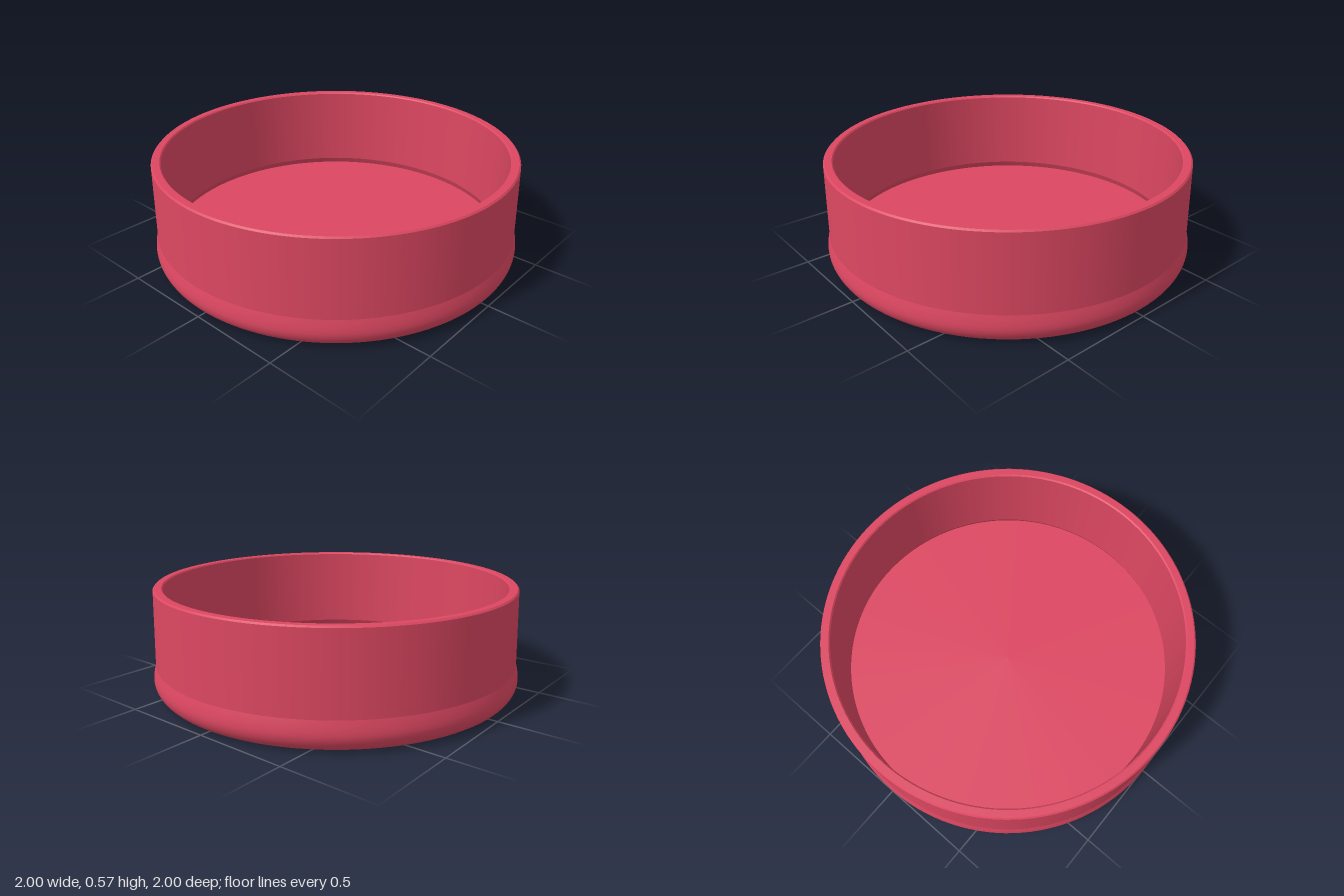
import * as THREE from 'three';

export function createModel() {
  const group = new THREE.Group();
  group.name = 'roundTray';
  const red = new THREE.MeshStandardMaterial({ color: 0xdc4761 });
  red.name = 'raspberry red';

  // each ring is turned separately so the edges between them stay sharp
  const ring = (name, points) => {
    const profile = points.map(([r, y]) => new THREE.Vector2(r, y));
    const mesh = new THREE.Mesh(new THREE.LatheGeometry(profile, 128), red);
    mesh.name = name;
    group.add(mesh);
  };

  // rounded foot: quarter arc out to the widest point, then back to the wall
  const foot = [];
  for (let i = 0; i <= 10; i++) {
    const a = (i / 10) * Math.PI / 2;
    foot.push([0.92 + 0.08 * Math.sin(a), 0.09 - 0.09 * Math.cos(a)]);
  }
  foot.push([0.998, 0.11], [0.993, 0.135], [0.986, 0.16]);

  ring('underside', [[0, 0], [0.92, 0]]);
  ring('roundedFoot', foot);
  ring('outerWall', [[0.986, 0.16], [0.976, 0.565]]);
  ring('rimOuterBevel', [[0.976, 0.565], [0.968, 0.573]]);
  ring('rimTop', [[0.968, 0.573], [0.932, 0.573]]);
  ring('rimInnerBevel', [[0.932, 0.573], [0.925, 0.566]]);
  ring('innerWall', [[0.925, 0.566], [0.916, 0.107]]);
  ring('innerUndercut', [[0.916, 0.107], [0.93, 0.073]]);
  ring('floor', [[0.93, 0.073], [0, 0.073]]);
  return group;
}
